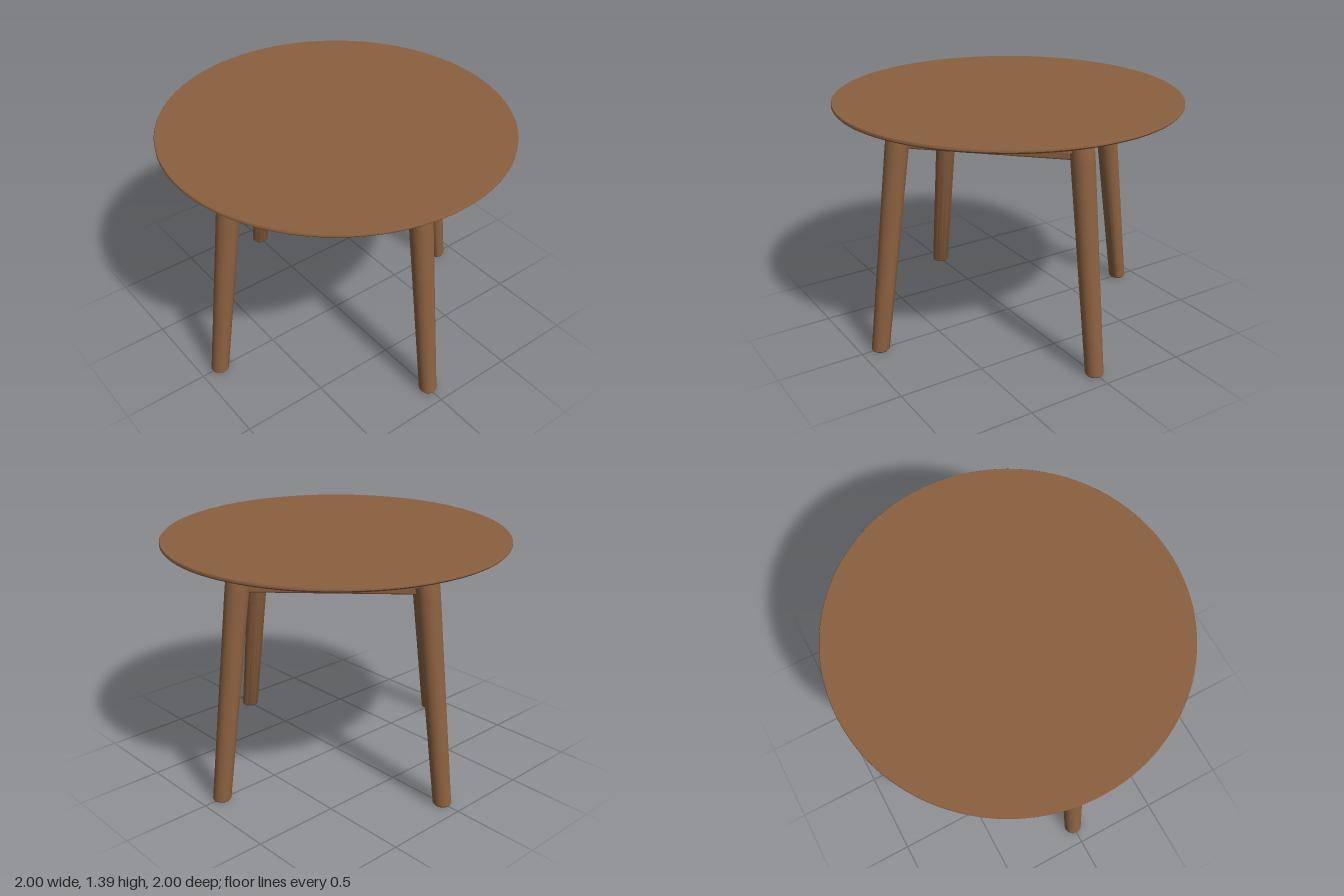
import * as THREE from 'three';
import { toCreasedNormals } from 'three/addons/utils/BufferGeometryUtils.js';
import { RoundedBoxGeometry } from 'three/addons/geometries/RoundedBoxGeometry.js';

const wood = new THREE.MeshStandardMaterial({ color: 0x8b603f });
wood.name = 'warm brown wood';

const TOP_R = 0.695;   // leg axis radius under the tabletop
const FOOT_R = 0.883;  // leg axis radius at the floor
const UNDER = 1.366;   // underside of the tabletop

function part(name, geometry, parent) {
  const mesh = new THREE.Mesh(geometry, wood);
  mesh.name = name;
  parent.add(mesh);
  return mesh;
}

// Solid of revolution from [radius, height] pairs, bottom to top
function turned(points, sides) {
  return new THREE.LatheGeometry(points.map(([r, y]) => new THREE.Vector2(r, y)), sides);
}

// Flat plate cut from an outline in x and y, centred on its thickness
function plate(points, thickness) {
  const shape = new THREE.Shape(points.map(([x, y]) => new THREE.Vector2(x, y)));
  const g = new THREE.ExtrudeGeometry(shape, { depth: thickness, bevelEnabled: false });
  return g.translate(0, 0, -thickness / 2);
}

// Tapered leg, sheared outwards so that the foot stays level
function legGeometry() {
  const g = turned([[0, 0], [0.046, 0], [0.052, 0.008], [0.066, 1.2], [0.065, 1.33], [0.056, UNDER], [0, UNDER]], 32);
  const p = g.attributes.position;
  for (let i = 0; i < p.count; i++) {
    p.setX(i, p.getX(i) + THREE.MathUtils.lerp(FOOT_R, TOP_R, p.getY(i) / UNDER));
  }
  return toCreasedNormals(g, 0.6);
}

export function createModel() {
  const table = new THREE.Group();
  table.name = 'roundTable';

  // Thin round top with a softened rim
  const top = turned([[0, UNDER], [0.978, UNDER], [0.993, 1.372], [1, 1.38], [1, 1.391], [0.997, 1.395], [0, 1.395]], 128);
  part('tabletop', toCreasedNormals(top, 0.7), table);

  const leg = legGeometry();
  const crossWing = plate([[-0.21, UNDER], [-0.21, 1.33], [-0.17, 1.295], [-0.12, 1.265], [-0.07, 1.25],
    [0.07, 1.25], [0.12, 1.265], [0.17, 1.295], [0.21, 1.33], [0.21, UNDER]], 0.022);
  const outWing = plate([[0.62, UNDER], [0.625, 1.325], [0.74, 1.322], [0.83, 1.326], [0.875, 1.337], [0.88, UNDER]], 0.02);
  const apron = new RoundedBoxGeometry(0.95, 0.168, 0.04, 3, 0.01);

  for (let i = 0; i < 4; i++) {
    const quarter = new THREE.Group();
    quarter.name = 'quarter' + (i + 1);
    quarter.rotation.y = i * Math.PI / 2;
    table.add(quarter);

    part('leg', leg, quarter);

    // Wings that brace the leg against the top
    const cross = part('crossWing', crossWing, quarter);
    cross.position.x = TOP_R;
    cross.rotation.y = Math.PI / 2;
    for (const side of [-1, 1]) {
      part('outwardWing', outWing, quarter).position.z = side * 0.057;
    }

    // Apron running diagonally to the next leg
    const rail = part('apron', apron, quarter);
    rail.position.set(TOP_R / 2, 1.284, TOP_R / 2);
    rail.rotation.y = Math.PI / 4;
  }
  return table;
}
